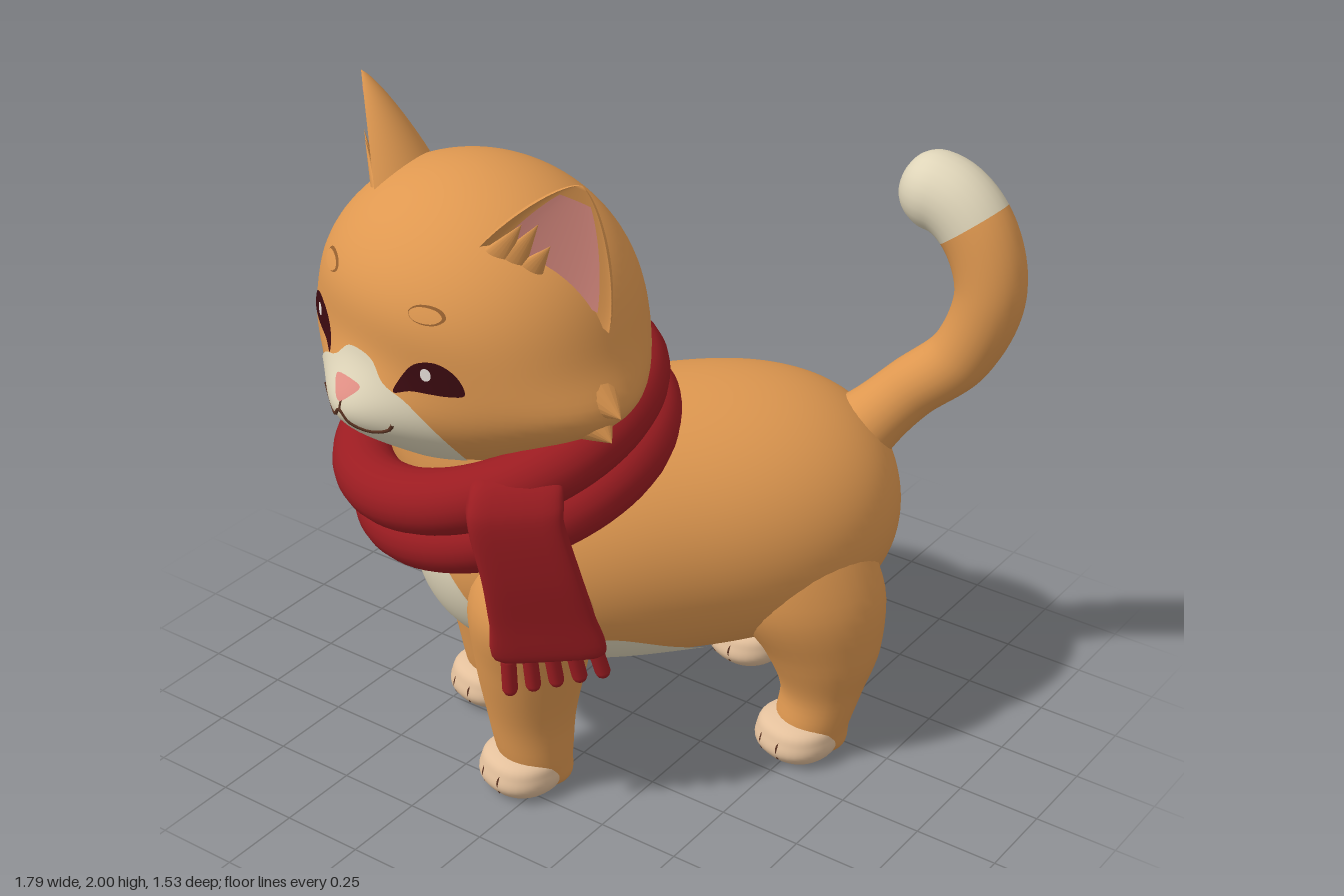
import * as THREE from 'three';
import { mergeVertices } from 'three/addons/utils/BufferGeometryUtils.js';

const mat = (name, color) => Object.assign(new THREE.MeshStandardMaterial({ color }), { name });
const M = {
  fur: mat('orange fur', 0xdf9850), cream: mat('cream fur', 0xdfd5b9), paw: mat('paw cream', 0xe3c09c),
  scarf: mat('red scarf', 0x9b1c21), eye: mat('dark maroon', 0x3a0a10), pink: mat('pink skin', 0xe39186),
  line: mat('brown line', 0x5a3322), brow: mat('brow outline', 0x96602f), glint: mat('eye glint', 0xf4ece6),
};
const { PI, sin, cos, exp, sqrt, abs, pow, sign } = Math;

function add(parent, name, geo, material) {
  const m = new THREE.Mesh(geo, material);
  m.name = name;
  parent.add(m);
  return m;
}
function group(parent, name) {
  const g = new THREE.Group();
  g.name = name;
  parent.add(g);
  return g;
}
// Weld seams so the shading stays smooth
function smooth(geo) {
  geo.deleteAttribute('uv');
  geo.deleteAttribute('normal');
  const g = mergeVertices(geo, 1e-5);
  g.computeVertexNormals();
  return g;
}
// Surface from f(u, v) with u, v in 0..1; it faces du x dv
function surface(f, nu, nv) {
  const pos = [], idx = [];
  for (let i = 0; i <= nu; i++) for (let j = 0; j <= nv; j++) pos.push(...f(i / nu, j / nv));
  for (let i = 0; i < nu; i++) for (let j = 0; j < nv; j++) {
    const a = i * (nv + 1) + j, b = a + nv + 1;
    idx.push(a, b, b + 1, a, b + 1, a + 1);
  }
  const g = new THREE.BufferGeometry();
  g.setAttribute('position', new THREE.Float32BufferAttribute(pos, 3));
  g.setIndex(idx);
  return smooth(g);
}
// Catmull-Rom through rows of numbers
function spline(rows, t) {
  const n = rows.length - 1, i = Math.min(Math.floor(t * n), n - 1), s = t * n - i;
  const [a, b, c, d] = [i - 1, i, i + 1, i + 2].map(k => rows[Math.max(0, Math.min(n, k))]);
  return b.map((q, k) => q + 0.5 * s * (c[k] - a[k] + s * (2 * a[k] - 5 * q + 4 * c[k] - d[k]
    + s * (3 * (q - c[k]) + d[k] - a[k]))));
}
// Upright loft through rows of [y, centreX, centreZ, radiusX, radiusZ]
const loft = (rows, e = 1) => surface((u, v) => {
  const [y, cx, cz, rx, rz] = spline(rows, u), c = cos(v * 2 * PI), s = sin(v * 2 * PI);
  return [cx + Math.max(rx, 0) * sign(c) * pow(abs(c), e), y, cz + Math.max(rz, 0) * sign(s) * pow(abs(s), e)];
}, rows.length * 5, 32);
// Pointed fur tuft
function tuft(parent, from, to, r, flat = 0.6) {
  const a = new THREE.Vector3(...from), d = new THREE.Vector3(...to).sub(a);
  const m = add(parent, 'furTuft', new THREE.ConeGeometry(r, d.length(), 18), M.fur);
  m.position.copy(a).addScaledVector(d, 0.5);
  m.quaternion.setFromUnitVectors(new THREE.Vector3(0, 1, 0), d.normalize());
  m.scale.z = flat;
}

// Rounded barrel body, wider at the rump; angle a is measured from the underside
function bodyPoint(a, z) {
  const q = Math.min(1, abs((z + 0.08) / 0.715));
  const r = pow(1 - pow(q, 2.8), 0.44);
  return [(0.443 - 0.02 * z) * r * sin(a) - 0.01, 0.72 - 0.41 * r * cos(a), z];
}
function buildBody(root) {
  const body = group(root, 'body');
  body.rotation.y = -0.713;
  const zAt = v => -0.08 - 0.715 * cos(v * PI);
  add(body, 'torso', surface((u, v) => bodyPoint((u - 0.5) * 2 * PI, zAt(v)), 64, 64), M.fur);
  // Pale strip from rump, along belly, over the chest
  const widths = [[0.35], [0.3], [0.27], [0.3], [0.4], [0.82], [1.1], [1.0], [1.15], [1.85], [PI]];
  for (const [name, v0, v1, material] of [['rumpStripe', 0, 0.4, M.paw], ['bellyPatch', 0.4, 1, M.cream]])
    add(body, name, surface((u, k) => {
      const v = v0 + (v1 - v0) * k, w = Math.min(PI, spline(widths, v)[0]);
      const [x, y, z] = bodyPoint((u - 0.5) * 2 * w, zAt(v));
      return [x * 1.012, 0.72 + (y - 0.72) * 1.012, z * 1.01];
    }, 40, 48), material);

  const front = [[0.015, 0, -0.04, 0, 0], [0.02, 0, -0.04, 0.08, 0.08], [0.1, 0, -0.02, 0.11, 0.108],
    [0.25, 0, -0.01, 0.125, 0.13], [0.45, 0.015, -0.01, 0.163, 0.165], [0.65, 0.03, -0.02, 0.2, 0.19],
    [0.82, -0.03, -0.05, 0.15, 0.15], [0.92, -0.07, -0.06, 0, 0]];
  const hind = [[0.015, 0, -0.04, 0, 0], [0.02, 0, -0.04, 0.08, 0.08], [0.1, 0, -0.025, 0.11, 0.11],
    [0.22, 0, -0.05, 0.122, 0.125], [0.36, 0, -0.045, 0.15, 0.175], [0.56, -0.02, 0.01, 0.178, 0.235],
    [0.8, -0.06, 0.06, 0.13, 0.18], [0.93, -0.1, 0.06, 0, 0]];
  for (const s of [-1, 1]) for (const [name, rows, x, z] of [['frontLeg', front, 0.235, 0.37], ['hindLeg', hind, 0.265, -0.46]]) {
    const leg = group(body, name);
    leg.position.set(0.012 + s * x, 0, z);
    add(leg, 'limb', loft(rows.map(([y, cx, ...r]) => [y, cx * s, ...r])), M.fur);
    // Paw turned toward the front, with creases between the toes
    const paw = group(leg, 'paw');
    paw.rotation.y = 0.42;
    add(paw, 'pawPad', loft([[0.004, 0, 0.025, 0, 0], [0.005, 0, 0.025, 0.085, 0.08], [0.04, 0, 0.03, 0.12, 0.115],
      [0.08, 0, 0.03, 0.122, 0.112], [0.12, 0, 0.025, 0.1, 0.09], [0.145, 0, 0.01, 0, 0]], 0.9), M.paw);
    for (const k of [-1, 1]) {
      const pts = [[0.03, 0.132], [0.06, 0.14], [0.095, 0.127]].map(([y, d]) => new THREE.Vector3(k * 0.036, y, d));
      add(paw, 'toeCrease', new THREE.TubeGeometry(new THREE.CatmullRomCurve3(pts), 8, 0.005, 6), M.line);
    }
  }
  tuft(body, [-0.34, 0.9, 0.28], [-0.56, 0.66, 0.36], 0.15, 0.8);
  add(body, 'neck', loft([[0.75, 0, 0.3, 0.3, 0.28], [1.0, -0.03, 0.36, 0.36, 0.33], [1.25, -0.04, 0.4, 0.3, 0.3]]), M.fur);

  // Two tilted scarf coils
  const scarf = group(body, 'scarfCoils');
  scarf.position.set(-0.04, 1.022, 0.355);
  scarf.rotation.x = 0.345;
  for (const [y, r] of [[0.068, 0.412], [-0.075, 0.405]]) {
    const coil = add(scarf, 'scarfCoil', new THREE.TorusGeometry(r, 0.093, 20, 72), M.scarf);
    coil.rotation.x = PI / 2;
    coil.position.y = y;
  }
}

function buildScarfEnd(root) {
  const end = group(root, 'scarfEnd');
  end.position.set(0.065, 0, 0.615);
  end.rotation.y = 0.72;
  add(end, 'scarfFlap', loft([[0.575, 0.075, 0.01, 0, 0], [0.58, 0.075, 0.01, 0.15, 0.03], [0.7, 0.055, 0.015, 0.146, 0.035],
    [0.85, 0.025, 0.02, 0.135, 0.042], [1.0, -0.01, 0.01, 0.13, 0.05], [1.07, -0.01, -0.02, 0.13, 0.06],
    [1.12, 0, -0.07, 0.11, 0.06], [1.125, 0, -0.08, 0, 0]], 0.4), M.scarf);
  for (let i = -2; i <= 2; i++) {
    const f = add(end, 'fringe', new THREE.CapsuleGeometry(0.022, 0.09, 5, 10), M.scarf);
    f.position.set(0.085 + i * 0.062, 0.54 + i * 0.01, 0.01);
    f.rotation.z = 0.15 + i * 0.06;
  }
}

// Tail: a tube with changing radius and a cream tip
function buildTail(root) {
  const path = new THREE.CatmullRomCurve3([[0.46, 0.92, -0.5], [0.58, 1.06, -0.565], [0.72, 1.2, -0.61], [0.785, 1.4, -0.63],
    [0.735, 1.56, -0.64], [0.64, 1.65, -0.64], [0.485, 1.67, -0.635]].map(p => new THREE.Vector3(...p)));
  const N = 72, R = 24, geo = new THREE.TubeGeometry(path, N, 1, R), pos = geo.attributes.position;
  const v = new THREE.Vector3();
  for (let k = 0; k < pos.count; k++) {
    const t = Math.floor(k / (R + 1)) / N, c = path.getPointAt(t);
    const cap = t > 0.89 ? sqrt(Math.max(0, 1 - pow((t - 0.89) / 0.11, 2))) : 1;
    const flare = 0.035 * exp(-t * 10);
    v.fromBufferAttribute(pos, k).sub(c).multiplyScalar((0.078 + 0.042 * t + flare) * cap).add(c);
    pos.setXYZ(k, v.x, v.y, v.z);
  }
  const split = Math.round(N * 0.77) * R * 6;
  geo.addGroup(0, split, 0);
  geo.addGroup(split, N * R * 6 - split, 1);
  add(root, 'tail', smooth(geo), [M.fur, M.cream]);
}

// Head surface: wide cheeks, a muzzle bulge and a shallow dip across the eyes
const headWidth = y => 0.485 * (1 + 0.08 * exp(-pow((y + 0.13) / 0.15, 2)));
const relief = (x, y) => 0.092 * exp(-pow(x / 0.17, 2) - pow((y + 0.17) / 0.13, 2))
  - 0.035 * exp(-pow((y + 0.02) / 0.13, 2)) * Math.max(0, 1 - pow(x / headWidth(y), 2));
const faceZ = (x, y) => 0.44 * sqrt(Math.max(0, 1 - pow(x / headWidth(y), 2) - pow(y / 0.43, 2))) + relief(x, y);
// Thin marking on the face, from a counter-clockwise outline
function marking(parent, name, material, outline, lift) {
  const curve = new THREE.CatmullRomCurve3(outline.map(([x, y]) => new THREE.Vector3(x, y, 0)), true, 'centripetal');
  const c = outline.reduce((s, p) => [s[0] + p[0] / outline.length, s[1] + p[1] / outline.length], [0, 0]);
  add(parent, name, surface((u, v) => {
    const p = curve.getPoint(v), x = c[0] + (p.x - c[0]) * u, y = c[1] + (p.y - c[1]) * u;
    return [x, y, faceZ(x, y) + lift];
  }, 14, 64), material);
}
const oval = (x, y, rx, ry) => [0, 1, 2, 3, 4, 5, 6, 7].map(i => [x + rx * cos(i * PI / 4), y + ry * sin(i * PI / 4)]);
function faceLine(parent, name, pts, r) {
  const c = new THREE.CatmullRomCurve3(pts.map(([x, y]) => new THREE.Vector3(x, y, faceZ(x, y) + 0.005)));
  add(parent, name, new THREE.TubeGeometry(c, 32, r, 6), M.line);
}

// Thick cupped ear, opening outward
function buildEar(head, s) {
  const ear = group(head, 'ear');
  ear.position.set(s * 0.33, 0.18, 0.1);
  ear.rotation.set(-0.13, s * 0.62, -s * 0.39, 'ZYX');
  const L = 0.405, w = t => 0.215 * pow(1 - pow(t, 1.3), 0.74), recess = t => 0.04 * (1 - t);
  add(ear, 'earShell', surface((t, v) => {
    const a = v * 2 * PI, n = sin(a);
    return [w(t) * cos(a), t * L, n > 0 ? -recess(t) * n : 0.23 * pow(1 - pow(t, 1.15), 0.8) * n];
  }, 32, 40), M.fur);
  add(ear, 'innerEar', surface((u, t) => {
    const k = (u * 2 - 1) * 0.8, h = 0.1 + t * 0.78;
    return [k * w(h), h * L, 0.006 - recess(h) * sqrt(1 - k * k)];
  }, 12, 24), M.pink);
  for (const [x, y] of [[-0.12, 0.23], [-0.08, 0.25], [-0.03, 0.2]])
    tuft(ear, [s * (x - 0.02), 0.06, -0.01], [s * (x + 0.015), y, 0.01], 0.05, 0.4);
}

function buildHead(root) {
  const head = group(root, 'head');
  head.position.set(-0.315, 1.415, 0.285);
  head.rotation.set(0, -0.2, -0.06, 'YXZ');
  const geo = new THREE.SphereGeometry(1, 80, 64), p = geo.attributes.position;
  for (let i = 0; i < p.count; i++) {
    const X = p.getX(i), y = 0.43 * p.getY(i), Z = p.getZ(i), x = X * headWidth(y);
    // Cheeks draw out to a ridge at each side
    const cheek = 0.06 * sign(X) * pow(abs(X), 6) * exp(-pow((y + 0.13) / 0.1, 2));
    p.setXYZ(i, x + cheek, y, 0.44 * Z + (Z > 0 ? relief(x, y) : 0));
  }
  add(head, 'skull', smooth(geo), M.fur);
  marking(head, 'muzzlePatch', M.cream, [[0.045, 0.005], [-0.045, 0.005], [-0.1, -0.045], [-0.18, -0.085], [-0.25, -0.17],
    [-0.26, -0.25], [-0.2, -0.35], [0, -0.4], [0.2, -0.35], [0.26, -0.25], [0.25, -0.17], [0.18, -0.085], [0.1, -0.045]], 0.006);
  marking(head, 'nose', M.pink, [[0.05, -0.07], [0, -0.06], [-0.05, -0.07], [-0.03, -0.1], [0, -0.122], [0.03, -0.1]], 0.015);
  faceLine(head, 'noseLine', [[0, -0.12], [0, -0.135], [0, -0.155]], 0.004);
  faceLine(head, 'mouth', [[-0.145, -0.155], [-0.135, -0.175], [-0.085, -0.195], [-0.03, -0.18], [0, -0.15],
    [0.03, -0.18], [0.085, -0.195], [0.135, -0.175], [0.145, -0.155]], 0.006);
  for (const s of [-1, 1]) {
    const side = pts => (s > 0 ? pts : pts.map(([x, y]) => [-x, y]).reverse());
    marking(head, 'eye', M.eye, side([[0.138, -0.06], [0.183, -0.045], [0.233, -0.04], [0.283, -0.035], [0.322, -0.022],
      [0.3, 0.03], [0.25, 0.056], [0.193, 0.04], [0.156, -0.005]]), 0.008);
    marking(head, 'eyeGlint', M.glint, oval(s * 0.23 - 0.005, 0.017, 0.015, 0.019), 0.013);
    marking(head, 'browEdge', M.brow, oval(s * 0.2, 0.178, 0.05, 0.025), 0.005);
    marking(head, 'brow', M.fur, oval(s * 0.2, 0.179, 0.044, 0.02), 0.011);
    // Cheek fur
    tuft(head, [s * 0.38, -0.03, 0.01], [s * 0.59, -0.09, 0.01], 0.14, 1.2);
    tuft(head, [s * 0.38, -0.1, 0.02], [s * 0.57, -0.17, 0.02], 0.14, 1.2);
    tuft(head, [s * 0.34, -0.16, 0.02], [s * 0.5, -0.25, 0.02], 0.14, 1.2);
    buildEar(head, s);
  }
}

export function createModel() {
  const root = new THREE.Group();
  root.name = 'cat';
  buildBody(root);
  buildScarfEnd(root);
  buildTail(root);
  buildHead(root);
  return root;
}
